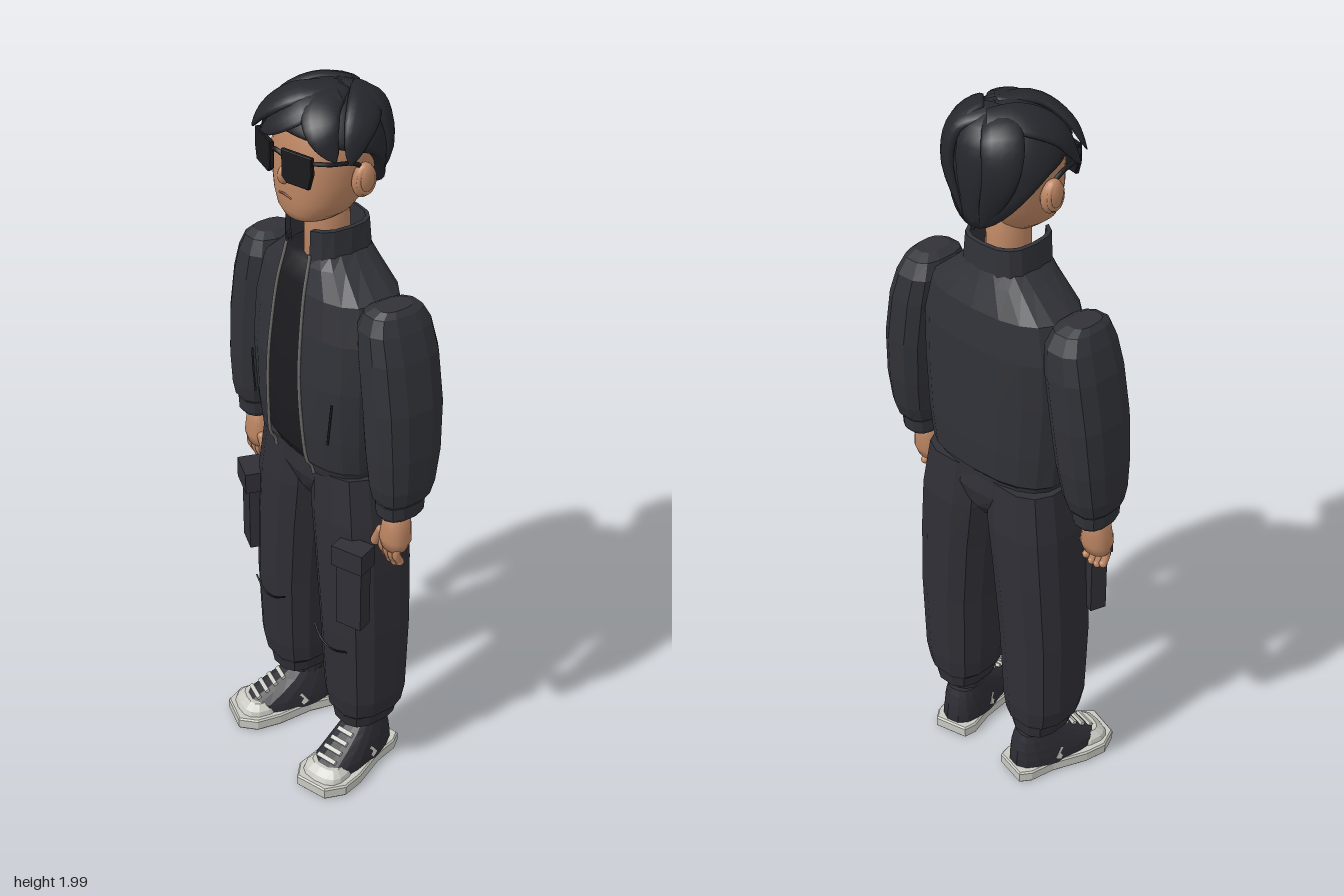
import * as THREE from 'three';

const mat = (name, color, flat = false) =>
  Object.assign(new THREE.MeshStandardMaterial({ color, flatShading: flat, side: THREE.DoubleSide }), { name });
const M = {
  jacket: mat('jacket black', 0x313238, true), pants: mat('trouser black', 0x2f2f36, true),
  shirt: mat('shirt black', 0x1c1c20), hair: mat('hair black', 0x26272d), skin: mat('skin', 0xbd8663),
  glasses: mat('glasses black', 0x1b1b1e), shoe: mat('shoe charcoal', 0x2c2c33, true),
  sole: mat('sole white', 0xc9c9c2, true), zip: mat('zip grey', 0x6e6c6a), mouth: mat('lip brown', 0x8a5742),
};
const V = (x, y, z) => new THREE.Vector3(x, y, z);

function add(parent, name, geometry, material, pos = [0, 0, 0], rot = [0, 0, 0], scale = [1, 1, 1]) {
  const m = new THREE.Mesh(geometry, material);
  m.name = name;
  m.position.set(...pos);
  m.rotation.set(...rot);
  m.scale.set(...scale);
  parent.add(m);
  return m;
}

// Skin a list of rings of points; closed rings get end caps
function skin(rings, closed = true) {
  const n = rings[0].length, pos = [], idx = [];
  rings.forEach(r => r.forEach(p => pos.push(p.x, p.y, p.z)));
  for (let j = 0; j < rings.length - 1; j++)
    for (let i = 0; i < (closed ? n : n - 1); i++) {
      const a = j * n + i, b = j * n + (i + 1) % n;
      idx.push(a, a + n, b, b, a + n, b + n);
    }
  if (closed) [0, rings.length - 1].forEach((j, top) => {
    const c = rings[j].reduce((s, p) => s.add(p), V(0, 0, 0)).divideScalar(n), k = pos.length / 3;
    pos.push(c.x, c.y, c.z);
    for (let i = 0; i < n; i++) {
      const a = j * n + i, b = j * n + (i + 1) % n;
      idx.push(k, top ? b : a, top ? a : b);
    }
  });
  const g = new THREE.BufferGeometry();
  g.setAttribute('position', new THREE.Float32BufferAttribute(pos, 3));
  g.setIndex(idx);
  g.computeVertexNormals();
  return g;
}

// Horizontal rounded ring: [y, centre x, half width, front z, back z, front gap half width]
function ring([y, cx, rx, zf, zb, gap = 0], sides, e) {
  const a0 = gap ? Math.acos(Math.pow(gap / rx, e / 2)) : 0, out = [];
  const pw = v => Math.sign(v) * Math.pow(Math.abs(v), 2 / e);
  for (let i = 0; i < sides; i++) {
    const a = gap ? Math.PI - a0 + (Math.PI + 2 * a0) * i / (sides - 1) : (i + 0.5) / sides * Math.PI * 2;
    out.push(V(cx + rx * pw(Math.cos(a)), y, (zf + zb) / 2 + (zf - zb) / 2 * pw(Math.sin(a))));
  }
  return out;
}
const loft = (rows, sides = 14, e = 2.6) => skin(rows.map(r => ring(r, sides, e)));
const tube = (pts, r, seg = 12) =>
  new THREE.TubeGeometry(new THREE.CatmullRomCurve3(pts.map(p => V(...p))), seg, r, 6);

// Flattened tapering lock of hair lying around the head
function lock(pts, w) {
  const curve = new THREE.CatmullRomCurve3(pts.map(p => V(...p))), rings = [];
  for (let j = 0; j <= 14; j++) {
    const u = j / 14, c = curve.getPoint(u), t = curve.getTangent(u);
    const b = t.clone().cross(c.clone().sub(V(0, 1.81, -0.03))).normalize(), n = b.clone().cross(t);
    const k = w * Math.pow(Math.sin(Math.PI * (0.15 + 0.845 * u)), 0.65);
    rings.push(Array.from({ length: 12 }, (_, i) => {
      const a = i / 12 * Math.PI * 2;
      return c.clone().addScaledVector(b, k * Math.cos(a)).addScaledVector(n, 0.33 * k * Math.sin(a));
    }));
  }
  return skin(rings);
}

function buildHead(g) {
  add(g, 'neck', loft([[1.5, 0, .055, .03, -.09], [1.7, 0, .052, .03, -.085]], 20, 2), M.skin);
  add(g, 'head', loft([[1.655, 0, .03, .06, -.03], [1.664, 0, .062, .082, -.055], [1.685, 0, .088, .092, -.075],
    [1.72, 0, .108, .096, -.1], [1.77, 0, .123, .097, -.125], [1.83, 0, .13, .095, -.138],
    [1.9, 0, .126, .085, -.138], [1.95, 0, .09, .05, -.1]], 32, 2.3), M.skin);
  add(g, 'nose', new THREE.SphereGeometry(1, 14, 10), M.skin, [0, 1.78, .095], [-.15, 0, 0], [.014, .025, .02]);
  add(g, 'mouth', tube([[-.025, 1.724, .093], [0, 1.729, .097], [.025, 1.724, .093]], .0028), M.mouth);
  for (const s of [1, -1]) {
    add(g, 'ear', new THREE.SphereGeometry(1, 16, 12), M.skin, [s * .14, 1.785, -.03], [0, 0, -s * .15], [.024, .046, .03]);
    add(g, 'earRim', new THREE.TorusGeometry(.022, .006, 8, 18), M.skin, [s * .152, 1.788, -.03], [0, Math.PI / 2, 0], [1, 1.4, 1]);
  }

  // Sunglasses
  const outline = new THREE.Shape([[-.045, .038], [.045, .04], [.047, 0], [.036, -.038], [-.03, -.04], [-.044, -.028]]
    .map(p => new THREE.Vector2(...p)));
  for (const s of [1, -1]) {
    add(g, 'lens', new THREE.ExtrudeGeometry(outline, { depth: .008, bevelEnabled: true, bevelSize: .002, bevelThickness: .002, bevelSegments: 1 }),
      M.glasses, [s * .066, 1.82, .102], [0, s * .22, 0], [s, 1, 1]);
    add(g, 'templeArm', tube([[s * .112, 1.848, .095], [s * .135, 1.845, .06], [s * .142, 1.835, 0], [s * .14, 1.815, -.03]], .006), M.glasses);
  }
  add(g, 'glassesBridge', tube([[-.026, 1.84, .112], [0, 1.848, .118], [.026, 1.84, .112]], .006), M.glasses);

  // Hair cap with a hairline that drops toward the nape
  const rows = [];
  for (let j = -1; j <= 12; j++) rows.push(Array.from({ length: 40 }, (_, i) => {
    const a = i / 40 * Math.PI * 2, s = Math.sin(a), t = Math.max(j, 0) / 12;
    const yb = s > 0 ? 1.855 + .035 * s : 1.855 - .155 * Math.pow(-s, 1.5);
    const y = yb + (1.985 - yb) * Math.sin(t * Math.PI / 2), h = (y - 1.83) / .155;
    const r = (h > 0 ? Math.sqrt(Math.max(0, 1 - h * h * .999)) : 1 - .1 * h * h) * (j < 0 ? .75 : 1);
    return V(.15 * r * Math.cos(a), y, -.03 + (s > 0 ? .135 : .132) * r * s);
  }));
  add(g, 'hairCap', skin(rows), M.hair);
  const locks = [
    [[[-.01, 1.965, -.11], [-.07, 1.962, -.05], [-.12, 1.925, .01], [-.152, 1.84, .055]], .05],
    [[[.03, 1.978, -.04], [-.02, 1.965, .05], [-.085, 1.915, .09], [-.135, 1.855, .095]], .045],
    [[[.06, 1.97, -.02], [.03, 1.95, .06], [-.02, 1.91, .1], [-.075, 1.87, .11]], .045],
    [[[.03, 1.978, -.04], [.07, 1.95, .04], [.11, 1.91, .065], [.14, 1.85, .05]], .045],
    [[[.03, 1.965, -.11], [.09, 1.95, -.07], [.135, 1.91, -.02], [.148, 1.835, .015]], .045],
    [[[0, 1.972, -.07], [.07, 1.94, -.12], [.085, 1.85, -.145], [.03, 1.71, -.15]], .05],
    [[[0, 1.972, -.07], [-.07, 1.94, -.12], [-.085, 1.85, -.145], [-.03, 1.71, -.15]], .05],
    [[[.01, 1.975, -.06], [0, 1.93, -.135], [0, 1.83, -.155], [0, 1.69, -.148]], .05],
  ];
  locks.forEach(([p, w]) => add(g, 'hairLock', lock(p, w), M.hair));
}

function buildTorso(g) {
  const rows = [[.97, 0, .19, .075, -.15, .082], [.995, 0, .2, .08, -.152, .081], [1.01, 0, .212, .092, -.166, .08],
    [1.1, 0, .222, .102, -.172, .074], [1.25, 0, .232, .105, -.172, .066], [1.38, 0, .23, .094, -.17, .06],
    [1.48, 0, .205, .08, -.158, .055], [1.545, 0, .13, .066, -.135, .05], [1.575, 0, .098, .062, -.125, .048]];
  const rings = rows.map(r => ring(r, 19, 2.6));
  add(g, 'jacketBody', skin(rings, false), M.jacket);
  add(g, 'shirt', loft(rows.slice(0, -1).map(([y, x, rx, f, b]) => [y, x, rx - .02, f - .016, b + .02]), 28, 2.6), M.shirt);
  add(g, 'collar', skin([[1.56, 0, .1, .064, -.127, .048], [1.64, 0, .094, .064, -.122, .05], [1.642, 0, .084, .054, -.112, .05],
    [1.56, 0, .086, .05, -.11, .048]].map(r => ring(r, 15, 2.8)), false), M.jacket);
  for (const end of [0, 18])
    add(g, 'zip', tube(rings.map(r => [r[end].x, r[end].y, r[end].z + .002]), .0045, 40), M.zip);
  for (const s of [1, -1])
    add(g, 'jacketPocketSeam', tube([[s * .172, 1.22, .082], [s * .166, 1.16, .084], [s * .158, 1.1, .084]], .003), M.glasses);
}

function buildArm(side) {
  const g = new THREE.Group();
  g.name = side > 0 ? 'leftArm' : 'rightArm';
  add(g, 'sleeve', loft([[.975, .304, .045, .025, -.095], [.99, .304, .058, .038, -.108], [1.03, .303, .066, .046, -.122],
    [1.12, .298, .073, .053, -.138], [1.25, .287, .076, .056, -.148], [1.38, .266, .074, .055, -.148],
    [1.45, .252, .066, .05, -.138], [1.49, .25, .05, .034, -.115], [1.503, .255, .032, .01, -.085]], 12, 2.7), M.jacket);
  add(g, 'cuff', loft([[.935, .303, .043, .024, -.09], [.945, .304, .047, .03, -.096], [.978, .304, .049, .032, -.098]], 12), M.jacket);
  add(g, 'palm', loft([[.83, .3, .036, .006, -.05], [.86, .302, .044, .014, -.06], [.9, .303, .038, .01, -.06],
    [.95, .303, .03, .005, -.06]], 16, 2.3), M.skin);
  [.27, .289, .308, .327].forEach((x, i) => add(g, 'finger', tube([[x, .86, -.018], [x - .002, .82, -.01],
    [x - .003, i % 3 ? .785 : .795, -.022]], .0115), M.skin));
  [.27, .289, .308, .327].forEach((x, i) => add(g, 'fingertip', new THREE.SphereGeometry(.0115, 10, 8), M.skin,
    [x - .003, i % 3 ? .785 : .795, -.022]));
  add(g, 'thumb', new THREE.CapsuleGeometry(.013, .05, 4, 10), M.skin, [.255, .845, -.005], [0, 0, -.45]);
  g.scale.x = side;
  return g;
}

function buildLeg(side) {
  const g = new THREE.Group();
  g.name = side > 0 ? 'leftLeg' : 'rightLeg';
  add(g, 'trouserLeg', loft([[.165, .147, .066, .03, -.135], [.2, .147, .072, .036, -.14], [.215, .148, .088, .045, -.148],
    [.27, .15, .097, .055, -.155], [.5, .147, .104, .066, -.163], [.7, .133, .109, .07, -.168],
    [.85, .118, .114, .07, -.168], [.985, .106, .104, .062, -.155]], 12, 2.7), M.pants);
  add(g, 'kneeSeam', tube([[.07, .47, .06], [.11, .448, .068], [.16, .443, .068], [.21, .46, .058]], .0025), M.glasses);

  // Cargo pocket wrapped on the outer front
  const pocket = new THREE.Group();
  pocket.name = 'cargoPocket';
  pocket.position.set(.226, 0, .05);
  pocket.rotation.y = .35;
  add(pocket, 'pocketBag', new THREE.BoxGeometry(.075, .2, .045), M.pants, [0, .67, 0]);
  add(pocket, 'pocketFlap', new THREE.BoxGeometry(.092, .06, .062), M.pants, [0, .788, .003]);
  g.add(pocket);

  // Sneaker turned slightly outward
  const shoe = new THREE.Group();
  shoe.name = 'shoe';
  shoe.position.set(.152, 0, 0);
  shoe.rotation.y = .23;
  const print = new THREE.Shape([[-.045, .15], [.045, .15], [.058, .12], [.058, .05], [.078, -.05], [.078, -.11], [.045, -.158],
    [-.045, -.163], [-.074, -.12], [-.074, -.05], [-.056, .05], [-.058, .12]].map(p => new THREE.Vector2(...p)));
  add(shoe, 'sole', new THREE.ExtrudeGeometry(print, { depth: .026, bevelEnabled: true, bevelSize: .004, bevelThickness: .005, bevelSegments: 1 }),
    M.sole, [0, .005, 0], [-Math.PI / 2, 0, 0]);
  add(shoe, 'shoeUpper', loft([[.03, 0, .066, .15, -.146], [.06, 0, .064, .125, -.145], [.09, 0, .058, .07, -.14],
    [.12, 0, .05, .02, -.132], [.14, 0, .044, -.005, -.125]], 16, 2.5), M.shoe);
  add(shoe, 'toeCap', loft([[.03, 0, .067, .154, .03], [.05, 0, .062, .143, .045], [.066, 0, .045, .123, .06]], 14, 2.6), M.sole);
  for (let i = 0; i < 4; i++)
    add(shoe, 'lace', new THREE.BoxGeometry(.062 - i * .004, .009, .012), M.sole, [0, .078 + i * .015, .097 - i * .026], [.55, 0, 0]);
  for (const s of [1, -1])
    add(shoe, 'sideStripe', new THREE.BoxGeometry(.008, .035, .02), M.sole, [s * .059, .058, -.025], [.6, 0, s * .15]);
  add(shoe, 'sock', new THREE.CylinderGeometry(.047, .047, .08, 12), M.shoe, [0, .15, -.065]);
  g.add(shoe);
  g.scale.x = side;
  return g;
}

export function createModel() {
  const model = new THREE.Group();
  model.name = 'standingFigure';
  buildHead(model);
  buildTorso(model);
  add(model, 'trouserHips', loft([[.84, 0, .03, .02, -.12], [.88, 0, .06, .05, -.15], [.93, 0, .14, .066, -.158],
    [.985, 0, .185, .064, -.15]], 14, 2.6), M.pants);
  for (const side of [1, -1]) model.add(buildArm(side), buildLeg(side));
  return model;
}
